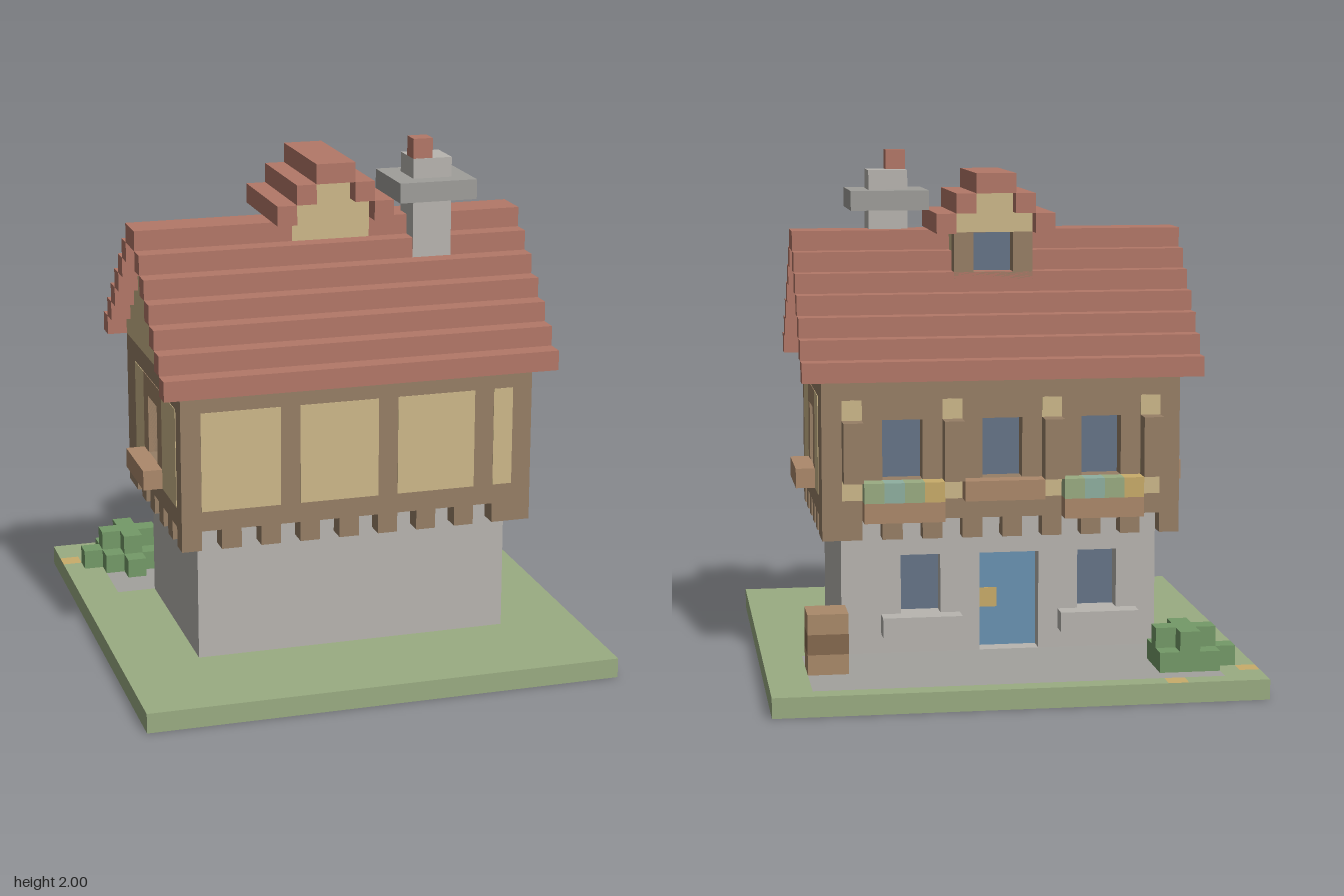
import * as THREE from 'three';
import { mergeGeometries } from 'three/addons/utils/BufferGeometryUtils.js';

const C = {
  grass: 0x9aac82, path: 0xa3a19d, stone: 0xb8b5b0, stoneDark: 0x9f9e9a, timber: 0x977f66,
  frame: 0xa08468, plaster: 0xcdb88a, roof: 0xb37868, glass: 0x667488, door: 0x6a92b2,
  sill: 0xac896b, leaf: 0x749a68, yellow: 0xc9ac6a, teal: 0x8fb0a0, wood: 0xaa8a6a, band: 0x85694f,
};
const mats = {};
const mat = (c) => (mats[c] ??= new THREE.MeshStandardMaterial({ color: C[c], side: THREE.DoubleSide }));

export function createModel() {
  const root = new THREE.Group();
  root.name = 'house';
  // Everything is laid out in cubes; the house is 26 cubes tall.
  const cubes = new THREE.Group();
  cubes.name = 'cubes';
  cubes.scale.setScalar(1 / 13);
  root.add(cubes);

  function part(name) {
    const g = new THREE.Group();
    g.name = name;
    cubes.add(g);
    return g;
  }
  function add(g, name, color, geometry) {
    const m = new THREE.Mesh(geometry, mat(color));
    m.name = name;
    g.add(m);
    return m;
  }
  function box(g, name, color, x0, x1, y0, y1, z0, z1) {
    const geo = new THREE.BoxGeometry(x1 - x0, y1 - y0, z1 - z0);
    return add(g, name, color, geo.translate((x0 + x1) / 2, (y0 + y1) / 2, (z0 + z1) / 2));
  }
  // A one-cube-thick wall with rectangular openings, drawn in its own u,v plane.
  function wall(g, name, color, u0, u1, v0, v1, holes) {
    const rect = (P, [a, b, c, d]) => {
      const p = new P();
      p.moveTo(a, c); p.lineTo(b, c); p.lineTo(b, d); p.lineTo(a, d); p.closePath();
      return p;
    };
    const s = rect(THREE.Shape, [u0, u1, v0, v1]);
    s.holes = holes.map((h) => rect(THREE.Path, h));
    return add(g, name, color, new THREE.ExtrudeGeometry(s, { depth: 1, bevelEnabled: false }));
  }
  // Removes the faces lying flat at the given heights, leaving the part hollow there.
  function open(mesh, ...levels) {
    const geo = mesh.geometry.index ? mesh.geometry.toNonIndexed() : mesh.geometry;
    const p = geo.attributes.position;
    const kept = [];
    for (let i = 0; i < p.count; i += 3) {
      const flat = levels.some((y) => [0, 1, 2].every((k) => Math.abs(p.getY(i + k) - y) < 1e-4));
      if (!flat) kept.push(...p.array.slice(i * 3, i * 3 + 9));
    }
    mesh.geometry = new THREE.BufferGeometry();
    mesh.geometry.setAttribute('position', new THREE.Float32BufferAttribute(kept, 3));
    mesh.geometry.computeVertexNormals();
  }
  const E = 0.03; // lift of coloured surfaces over their backing

  // Bush columns: a raised cross in a low square, with two side leaves
  const bushCells = [[-11, -9, 1], [-9, -7, 1]];
  for (let i = -1; i <= 1; i++)
    for (let j = -1; j <= 1; j++) bushCells.push([i - 9, j - 9, i && j ? 1 : 2]);
  const bush = part('bush');
  for (const [x, z, h] of bushCells) open(box(bush, 'bushLeaf', 'leaf', x, x + 1, 1, 1 + h, z, z + 1), 1);

  // Ground: a rim and a top sheet, left open under the walls, barrel and bush
  function groundColor(x, z) {
    const within = (a, b, c, d) => x >= a && x < b && z >= c && z < d;
    if (within(-8, 8, -4, 6) && !within(-7, 7, -3, 5)) return null;
    if (within(8, 10, -8, -6) || within(-2, 1, -3, -2)) return null;
    if (bushCells.some(([a, b]) => a === x && b === z)) return null;
    if (within(-8, -7, -12, -11) || within(-12, -11, -10, -9)) return 'yellow';
    return within(-10, 10, -11, -4) ? 'path' : 'grass';
  }
  const ground = part('ground');
  open(box(ground, 'lawnRim', 'grass', -12, 12, 0, 1, -12, 12), 0, 1);
  const tiles = { grass: [], path: [], yellow: [] };
  for (let x = -12; x < 12; x++)
    for (let z = -12; z < 12; z++)
      tiles[groundColor(x, z)]?.push(new THREE.PlaneGeometry(1, 1).rotateX(-Math.PI / 2).translate(x + 0.5, 1, z + 0.5));
  for (const c in tiles) add(ground, c + 'Top', c, mergeGeometries(tiles[c]));

  // Hollow stone ground floor; the back wall holds the door and two windows
  const lower = part('groundFloor');
  const lowWindows = [[3, 5, 3, 6], [-6, -4, 3, 6]];
  open(box(lower, 'frontStoneWall', 'stone', -8, 8, 1, 8, 5, 6), 1);
  for (const x of [-8, 7]) open(box(lower, 'sideStoneWall', 'stone', x, x + 1, 1, 8, -3, 5), 1);
  const back = wall(lower, 'backStoneWall', 'stone', -8, 8, 1, 8, [...lowWindows, [-2, 1, 1.01, 6]]);
  open(back, 1);
  back.position.z = -4;
  for (const [a, b, c, d] of lowWindows) {
    box(lower, 'lowerWindow', 'glass', a, b, c, d, -3 - E, -2);
    box(lower, 'stoneSill', 'stone', a - 1, b + 1, 2, 3, -5, -4);
  }
  open(box(lower, 'door', 'door', -2, 1, 1, 6, -3 - E, -2), 1);
  box(lower, 'doorPane', 'yellow', 0, 1, 3, 4, -3 - 2 * E, -2.5);

  // Timber upper floor
  const upper = part('upperFloor');
  box(upper, 'floorBoards', 'timber', -8, 8, 8, 9, -4, 6);
  box(upper, 'frontTimberWall', 'timber', -8, 8, 8, 15, 6, 7);
  const backWindows = [[4, 6, 10, 13], [-1, 1, 10, 13], [-6, -4, 10, 13]];
  wall(upper, 'backTimberWall', 'timber', -9, 9, 8, 15, backWindows).position.z = -5;
  for (const [a, b] of [[-8, -4], [-3, 1], [2, 6], [7, 8]])
    box(upper, 'frontPanel', 'plaster', a, b, 9, 14, 6.5, 7 + E);
  for (const x of [-8, -3, 2, 7])
    box(upper, 'backPanel', 'plaster', x, x + 1, 9, 14, -5 - E, -4.5);
  for (const [a, b, c, d] of backWindows)
    box(upper, 'backWindow', 'glass', a, b, c, d, -4 - E, -3);

  // Side walls with one window each, mirrored
  for (const s of [1, -1]) {
    const side = part(s > 0 ? 'leftWall' : 'rightWall');
    const sx = (name, c, x0, x1, ...r) => box(side, name, c, Math.min(s * x0, s * x1), Math.max(s * x0, s * x1), ...r);
    const w = wall(side, 'sideTimberWall', 'timber', -7, 4, 8, 15, [[-2, 0, 10, 13]]);
    w.rotation.y = Math.PI / 2; // u runs along -z
    w.position.x = s > 0 ? 8 : -9;
    sx('sideWindow', 'glass', 7, 8 + E, 10, 13, 0, 2);
    sx('sidePanel', 'plaster', 8.5, 9 + E, 9, 14, 3, 6);
    sx('sidePanel', 'plaster', 8.5, 9 + E, 9, 14, -3, -1);
    sx('windowPost', 'frame', 8.5, 9 + E, 9, 14, 2, 3);
    sx('windowPost', 'frame', 8.5, 9 + E, 9, 14, -1, 0);
    sx('windowLintel', 'frame', 8.5, 9 + E, 13, 14, 0, 2);
    sx('sideSill', 'sill', 9, 10, 9, 10, -1, 3);
    for (const z of [4, 2, 0, -2, -4]) sx('joistEnd', 'timber', 8, 9, 7, 8, z, z + 1);
    for (let y = 15; y < 21; y++) sx('gable', 'plaster', 8, 9, y, y + 1, y - 20, 22 - y);
  }

  // Joist ends under the front and back overhangs
  const joists = part('joists');
  for (const x of [-9, -7, -5, -3, -1, 1, 3, 5, 7, 8])
    for (const z of [-5, 6]) box(joists, 'joistEnd', 'timber', x, x + 1, 7, 8, z, z + 1);

  // Shutters, flower boxes and the middle sill
  const trim = part('windowTrim');
  for (const x of [-8, -3, 2, 7]) box(trim, 'shutter', 'timber', x, x + 1, 10, 13, -6, -5);
  for (const x of [-7, 3]) {
    box(trim, 'flowerBox', 'sill', x, x + 4, 8, 9, -6, -5);
    ['yellow', 'grass', 'teal', 'grass'].forEach((c, i) =>
      box(trim, 'flowers', c, x + i, x + i + 1, 9, 10, -6, -5));
  }
  box(trim, 'middleSill', 'sill', -2, 2, 9, 10, -6, -5);

  // Stepped roof courses
  const roof = part('roof');
  for (let y = 15; y <= 21; y++) {
    box(roof, 'roofCourse', 'roof', -10, 10, y, y + 1, 22 - y, 23 - y);
    box(roof, 'roofCourse', 'roof', -10, 10, y, y + 1, y - 21, y - 20);
  }

  // Dormer through the ridge, with its window at the back
  const dormer = part('dormer');
  box(dormer, 'dormerBody', 'plaster', -2, 2, 20, 23, -1, 2 + E);
  box(dormer, 'dormerPeak', 'plaster', -1, 1, 23, 24, -2, 2 + E);
  wall(dormer, 'dormerFrame', 'timber', -2, 2, 19, 22, [[-1, 1, 20, 21.99]]).position.z = -2;
  box(dormer, 'dormerBackPanel', 'plaster', -2, 2, 22, 23, -2, -1);
  box(dormer, 'dormerWindow', 'glass', -1, 1, 20, 22, -1 - E, -0.5);
  for (const [x0, x1, y] of [[-3, -2, 22], [2, 3, 22], [-2, -1, 23], [1, 2, 23], [-1, 1, 24]])
    box(dormer, 'dormerRoof', 'roof', x0, x1, y, y + 1, -3, 3);

  // Chimney
  const chimney = part('chimney');
  box(chimney, 'chimneyStack', 'stone', 4, 6, 20, 25, 1, 3 + E);
  box(chimney, 'chimneyCap', 'stoneDark', 3, 7, 23, 24, 0, 4);
  box(chimney, 'flue', 'roof', 4, 5, 25, 26, 2, 3);

  // Barrel, hollow from below
  const barrel = part('barrel');
  ['wood', 'band', 'wood'].forEach((c, i) =>
    open(box(barrel, 'barrelBand', c, 8, 10, 1 + i, 2 + i, -8, -6), 1 + i, i < 2 ? 2 + i : 1));

  return root;
}
